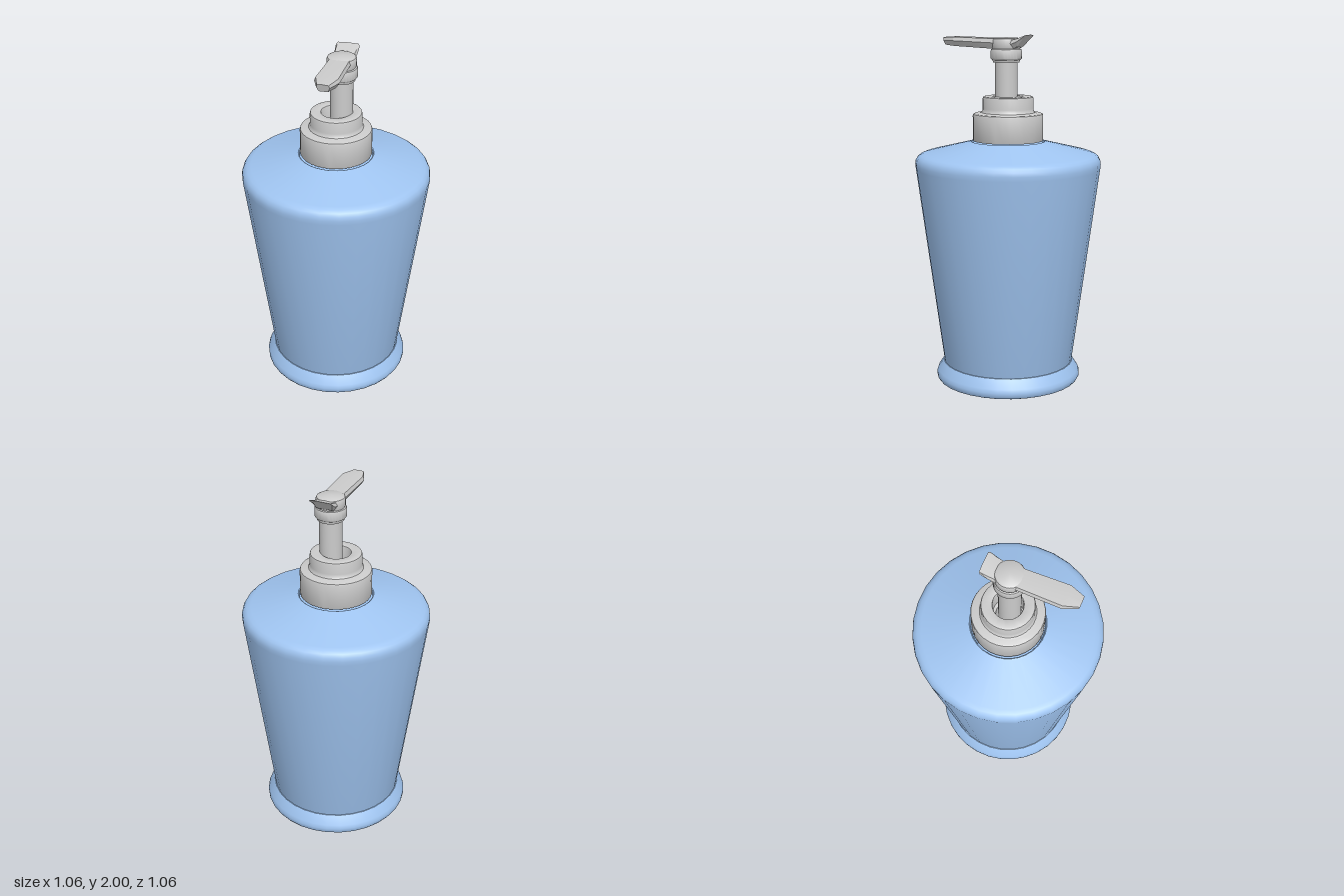
import * as THREE from 'three';
import { toCreasedNormals } from 'three/addons/utils/BufferGeometryUtils.js';

const grey = new THREE.MeshStandardMaterial({ color: 0xcccccc });
const blue = new THREE.MeshStandardMaterial({ color: 0x9fc4f0 });

// Turned part from [radius, height] pairs, listed up the outside
function turned(name, profile, material, segments = 32) {
  const points = profile.map(([r, y]) => new THREE.Vector2(r, y));
  const geometry = toCreasedNormals(new THREE.LatheGeometry(points, segments), 0.6);
  const mesh = new THREE.Mesh(geometry, material);
  mesh.name = name;
  return mesh;
}

// Faceted bar through sections { z, w: half width, bottom, top }, listed from back to front
function facetedBar(name, sections) {
  const shape = [[-0.7, 0], [0.7, 0], [1, 0.55], [0.88, 0.93], [0, 1], [-0.88, 0.93], [-1, 0.55]];
  const n = shape.length;
  const positions = [];
  const index = [];
  for (const { z, w, bottom, top, lean = 0 } of sections) {
    for (const [u, v] of shape) positions.push(u * w, bottom + v * (top - bottom), z + lean * v);
  }
  for (let s = 0; s < sections.length - 1; s++) {
    for (let i = 0; i < n; i++) {
      const a = s * n + i, b = s * n + (i + 1) % n;
      index.push(a, b, b + n, a, b + n, a + n);
    }
  }
  const last = (sections.length - 1) * n;
  for (let i = 1; i < n - 1; i++) {
    index.push(0, i + 1, i, last, last + i, last + i + 1);
  }
  const indexed = new THREE.BufferGeometry();
  indexed.setAttribute('position', new THREE.Float32BufferAttribute(positions, 3));
  indexed.setIndex(index);
  const mesh = new THREE.Mesh(toCreasedNormals(indexed, 0.35), grey);
  mesh.name = name;
  return mesh;
}

export function createModel() {
  const model = new THREE.Group();
  model.name = 'pumpBottle';

  // Flared foot
  model.add(turned('foot', [
    [0, 0], [0.39, 0], [0.409, 0.008], [0.418, 0.022], [0.419, 0.042], [0.412, 0.062],
    [0.378, 0.113], [0.365, 0.116],
  ], blue));

  // Tapered bottle with rounded shoulder and shallow neck seat
  model.add(turned('bottle', [
    [0.37, 0.1], [0.375, 0.116], [0.526, 1.25], [0.529, 1.275], [0.526, 1.297], [0.516, 1.315],
    [0.5, 1.327], [0.477, 1.335], [0.225, 1.397], [0.211, 1.402], [0.206, 1.4], [0.203, 1.39],
    [0, 1.39],
  ], blue));

  // Stepped cap with an open bore around the stem
  model.add(turned('cap', [
    [0.065, 1.405], [0.198, 1.405], [0.2, 1.41], [0.2, 1.547], [0.197, 1.556], [0.189, 1.56],
    [0.163, 1.561], [0.152, 1.565], [0.146, 1.574], [0.144, 1.588], [0.144, 1.643],
    [0.141, 1.652], [0.132, 1.656], [0.09, 1.656], [0.084, 1.653], [0.081, 1.645],
    [0.081, 1.54], [0.065, 1.53], [0.065, 1.405],
  ], grey));

  // Pump head, slightly off centre and turned
  const pump = new THREE.Group();
  pump.name = 'pump';
  pump.position.x = 0.03;
  pump.rotation.y = -0.09;
  model.add(pump);

  pump.add(turned('stem', [[0, 1.395], [0.063, 1.395], [0.063, 1.87], [0, 1.87]], grey, 24));

  pump.add(turned('headCollar', [
    [0.06, 1.846], [0.074, 1.846], [0.077, 1.86], [0.083, 1.863], [0.087, 1.869],
    [0.087, 1.911], [0.084, 1.919], [0.075, 1.923], [0, 1.923],
  ], grey));

  pump.add(turned('headHub', [
    [0.074, 1.915], [0.08, 1.93], [0.08, 1.966], [0.076, 1.976], [0.066, 1.982], [0, 1.985],
  ], grey));

  // Long tapering spout
  pump.add(facetedBar('spout', [
    { z: 0, w: 0.06, bottom: 1.921, top: 1.984 },
    { z: 0.06, w: 0.061, bottom: 1.922, top: 1.982 },
    { z: 0.3, w: 0.067, bottom: 1.934, top: 1.988 },
    { z: 0.37, w: 0.035, bottom: 1.94, top: 1.983, lean: 0.012 },
  ]));

  // Upswept thumb rest at the back
  pump.add(facetedBar('thumbRest', [
    { z: -0.12, w: 0.066, bottom: 1.976, top: 2, lean: -0.022 },
    { z: -0.085, w: 0.064, bottom: 1.935, top: 1.985, lean: -0.012 },
    { z: -0.06, w: 0.062, bottom: 1.921, top: 1.975 },
    { z: 0, w: 0.06, bottom: 1.921, top: 1.982 },
  ]));

  return model;
}
